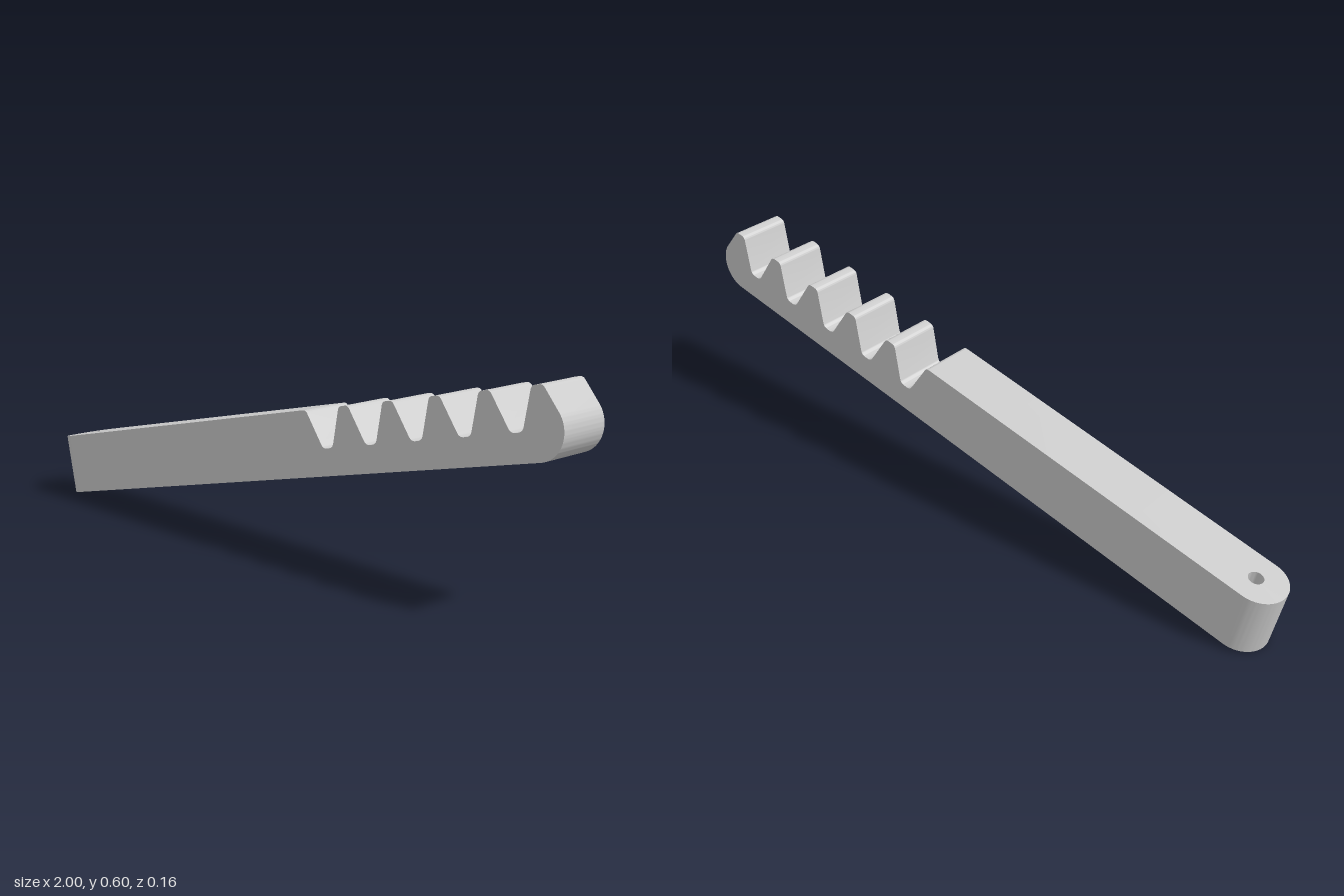
import * as THREE from 'three';
import { toCreasedNormals } from 'three/addons/utils/BufferGeometryUtils.js';

const HEIGHT = 0.184, HALF_WIDTH = 0.08, SPLIT = 0.2;
const PITCH = 0.16, FIRST_GAP = 1.24, GAPS = 5;
const ROOT = 0.075, ROOT_HALF = 0.018, CREST_HALF = 0.063;

// Draw a line through the points, rounding each one by a trim distance
function roundedLine(shape, points) {
  for (let i = 1; i < points.length - 1; i++) {
    const [prev, p, next] = [points[i - 1], points[i], points[i + 1]].map(([x, y]) => new THREE.Vector2(x, y));
    const trim = points[i][2];
    const a = prev.sub(p).setLength(trim).add(p);
    const b = next.sub(p).setLength(trim).add(p);
    shape.lineTo(a.x, a.y);
    shape.quadraticCurveTo(p.x, p.y, b.x, b.y);
  }
}

function extrude(shape, depth) {
  return new THREE.ExtrudeGeometry(shape, { depth, bevelEnabled: false, curveSegments: 20 });
}

function addPart(group, name, geometry) {
  const material = new THREE.MeshStandardMaterial({ color: 0xcccccc });
  const mesh = new THREE.Mesh(toCreasedNormals(geometry, 0.5), material);
  mesh.name = name;
  group.add(mesh);
}

// Side profile: plain bar, row of tooth gaps, rounded toe
function rackGeometry() {
  const points = [[SPLIT, HEIGHT]];
  for (let i = 0; i < GAPS; i++) {
    const u = FIRST_GAP + i * PITCH;
    points.push(
      [u - CREST_HALF, HEIGHT, 0.011], [u - ROOT_HALF, ROOT, 0.014],
      [u + ROOT_HALF, ROOT, 0.014], [u + CREST_HALF, HEIGHT, 0.011]
    );
  }
  const end = FIRST_GAP + GAPS * PITCH;
  points.push([end - CREST_HALF, HEIGHT, 0.011], [end - ROOT_HALF, ROOT]);

  const shape = new THREE.Shape();
  shape.moveTo(SPLIT, 0);
  shape.lineTo(SPLIT, HEIGHT);
  roundedLine(shape, points);
  const flank = Math.atan((CREST_HALF - ROOT_HALF) / (HEIGHT - ROOT));
  shape.absarc(1.939, 0.08, 0.08, flank, -Math.PI / 2, true);
  shape.lineTo(SPLIT, 0);
  return extrude(shape, 2 * HALF_WIDTH).translate(0, 0, -HALF_WIDTH);
}

// Plan outline: round end with a pivot hole through its height
function pivotGeometry() {
  const shape = new THREE.Shape();
  shape.moveTo(SPLIT, -HALF_WIDTH);
  shape.lineTo(SPLIT, HALF_WIDTH);
  shape.absarc(HALF_WIDTH, 0, HALF_WIDTH, Math.PI / 2, Math.PI * 1.5, false);
  shape.lineTo(SPLIT, -HALF_WIDTH);
  const hole = new THREE.Path();
  hole.absarc(0.09, 0, 0.0215, 0, Math.PI * 2, true);
  shape.holes.push(hole);
  return extrude(shape, HEIGHT).rotateX(-Math.PI / 2);
}

export function createModel() {
  const bar = new THREE.Group();
  bar.name = 'toothedBar';
  addPart(bar, 'toothedRack', rackGeometry());
  addPart(bar, 'pivotEnd', pivotGeometry());

  // The bar rests on its round end, tilted up to the teeth
  bar.rotation.z = THREE.MathUtils.degToRad(12.4);
  bar.position.x = -0.96;

  const model = new THREE.Group();
  model.name = 'rackArm';
  model.add(bar);
  return model;
}
